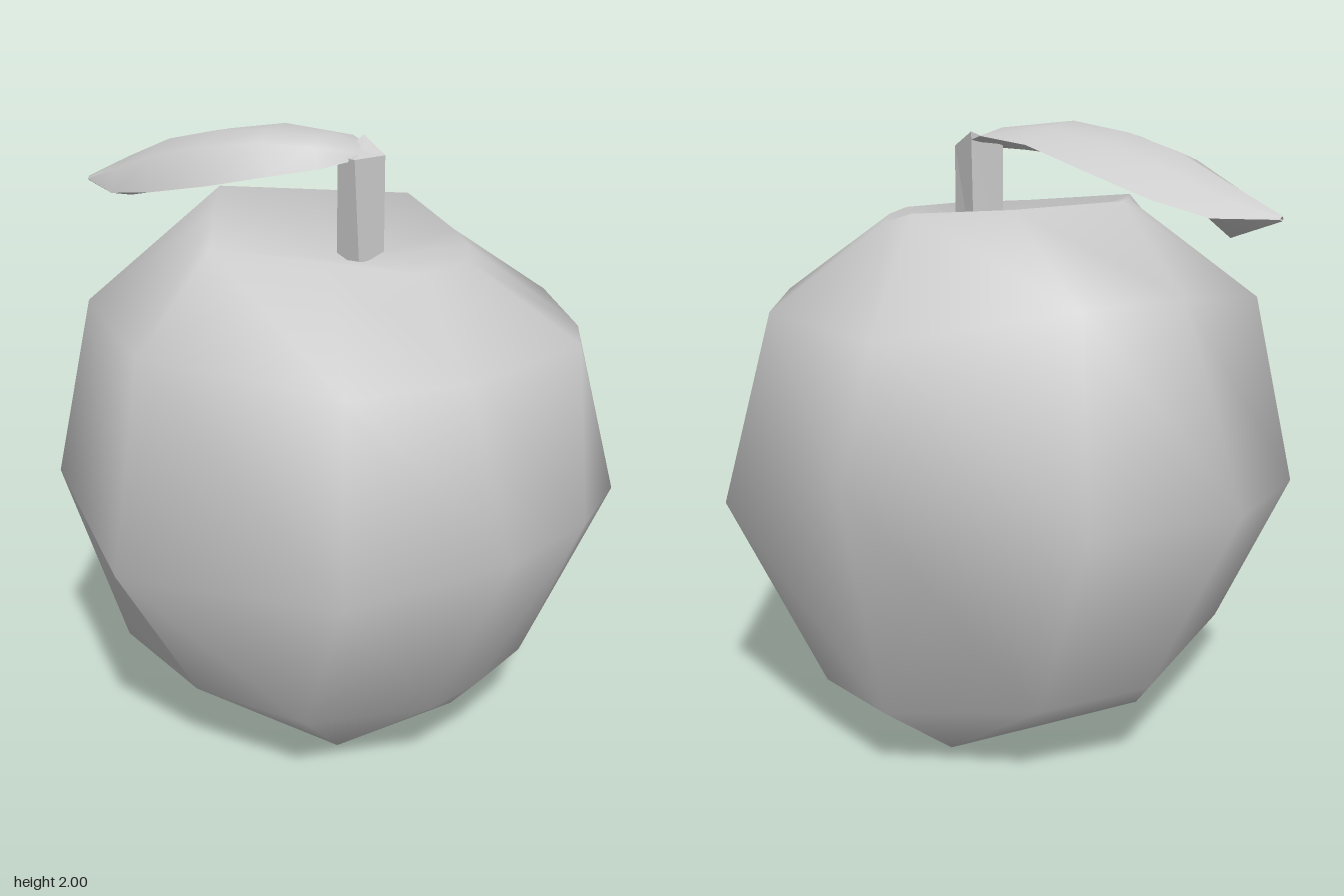
import * as THREE from 'three';
import { mergeVertices } from 'three/addons/utils/BufferGeometryUtils.js';

// Skin a surface over rows of [x, y, z] points; closed joins each row into a ring.
function loft(rows, closed, flat = false) {
  const n = rows[0].length, index = [];
  for (let i = 0; i < rows.length - 1; i++) {
    for (let j = 0; j < (closed ? n : n - 1); j++) {
      const k = (j + 1) % n;
      const a = i * n + j, b = i * n + k, c = a + n, d = b + n;
      index.push(a, b, c, b, d, c);
    }
  }
  let geo = new THREE.BufferGeometry();
  geo.setAttribute('position', new THREE.Float32BufferAttribute(rows.flat(2), 3));
  geo.setIndex(index);
  geo = mergeVertices(geo, 1e-4);
  if (flat) geo = geo.toNonIndexed();
  geo.computeVertexNormals();
  return geo;
}

export function createModel() {
  const group = new THREE.Group();
  const gray = new THREE.MeshStandardMaterial({ color: 0xcccccc, side: THREE.DoubleSide });
  gray.name = 'light gray';
  const add = (name, geo) => {
    const mesh = new THREE.Mesh(geo, gray);
    mesh.name = name;
    group.add(mesh);
  };

  // Fruit: irregular ten-sided rings, from a four-cornered base up to the dimple
  const corners = [[-0.4, 0.08, 0.23], [0.3, 0.05, 0.26], [0.34, 0.0, -0.26], [-0.24, 0.04, -0.41]];
  const base = [0, 0, 1, 1, 1, 2, 2, 2, 3, 3].map((i) => corners[i]);
  const lower = [
    [-0.71, 0.32, 0.01], [-0.4, 0.31, 0.58], [0.02, 0.3, 0.62], [0.4, 0.29, 0.49], [0.6, 0.28, 0.13],
    [0.6, 0.28, -0.1], [0.55, 0.27, -0.36], [0.08, 0.23, -0.68], [-0.25, 0.24, -0.66], [-0.6, 0.29, -0.33],
  ];
  const girth = [
    [-0.91, 0.9, 0.18], [-0.66, 0.86, 0.64], [-0.02, 0.79, 0.88], [0.68, 0.85, 0.6], [0.91, 0.92, 0.15],
    [0.9, 0.93, -0.2], [0.75, 0.89, -0.54], [0.33, 0.81, -0.89], [-0.37, 1.04, -0.86], [-0.86, 0.92, -0.35],
  ];
  const shoulder = [
    [-0.78, 1.54, 0.04], [-0.57, 1.46, 0.54], [-0.02, 1.45, 0.76], [0.58, 1.42, 0.51], [0.77, 1.44, 0.19],
    [0.78, 1.45, -0.28], [0.61, 1.42, -0.49], [0.28, 1.42, -0.73], [-0.32, 1.43, -0.72], [-0.73, 1.53, -0.28],
  ];
  const rim = [
    [-0.45, 1.78, 0.08], [-0.24, 1.755, 0.28], [0.0, 1.73, 0.49], [0.26, 1.7, 0.27], [0.48, 1.68, 0.1],
    [0.48, 1.68, -0.1], [0.36, 1.68, -0.24], [0.2, 1.68, -0.35], [-0.07, 1.74, -0.42], [-0.27, 1.755, -0.19],
  ];
  const pole = (x, y, z) => girth.map(() => [x, y, z]);
  add('fruit', loft([
    pole(0, 0.045, -0.03), base, lower, girth, shoulder, rim, pole(0, 1.58, -0.11),
  ], true));

  // Stem: four flat sides with one raised corner
  add('stem', loft([
    [[-0.05, 1.55, -0.07], [0.055, 1.55, -0.07], [0.055, 1.55, -0.18], [-0.05, 1.55, -0.18]],
    [[-0.03, 1.92, -0.055], [0.045, 1.92, -0.055], [0.06, 1.92, -0.175], [-0.045, 1.97, -0.185]],
    Array(4).fill([0.01, 1.935, -0.12]),
  ], true, true));

  // Leaf: cross-sections of front edge, midrib, back edge and the keel beneath
  const sections = [
    [[0.02, 1.91, -0.04], [0.02, 1.93, -0.1], [0.01, 1.93, -0.18], [0.02, 1.91, -0.1]],
    [[0.0, 1.9, 0.05], [-0.06, 1.98, 0.0], [-0.1, 1.96, -0.19], [-0.06, 1.93, 0.0]],
    [[-0.1, 1.88, 0.18], [-0.2, 2.0, 0.09], [-0.34, 1.95, -0.195], [-0.2, 1.93, 0.09]],
    [[-0.25, 1.845, 0.3], [-0.4, 1.975, 0.14], [-0.57, 1.89, -0.155], [-0.4, 1.89, 0.14]],
    [[-0.5, 1.79, 0.34], [-0.58, 1.93, 0.18], [-0.73, 1.82, -0.05], [-0.61, 1.81, 0.17]],
    [[-0.72, 1.75, 0.325], [-0.76, 1.85, 0.22], [-0.83, 1.77, 0.08], [-0.81, 1.705, 0.18]],
    [[-0.91, 1.76, 0.285], [-0.91, 1.77, 0.28], [-0.91, 1.76, 0.27], [-0.91, 1.755, 0.28]],
  ];
  const arch = (p, q, lift, push) => [(p[0] + q[0]) / 2, (p[1] + q[1]) / 2 + lift, (p[2] + q[2]) / 2 + push];
  add('leafTop', loft(sections.map(([front, rib, back], i) => {
    const bulge = 0.04 * Math.sin(Math.PI * i / 6);
    return [front, arch(front, rib, bulge, bulge), rib, arch(rib, back, bulge * 0.5, 0), back];
  }), false));
  add('leafUnderside', loft(sections.map(([front, , back, keel]) => [back, keel, front]), false));

  return group;
}
